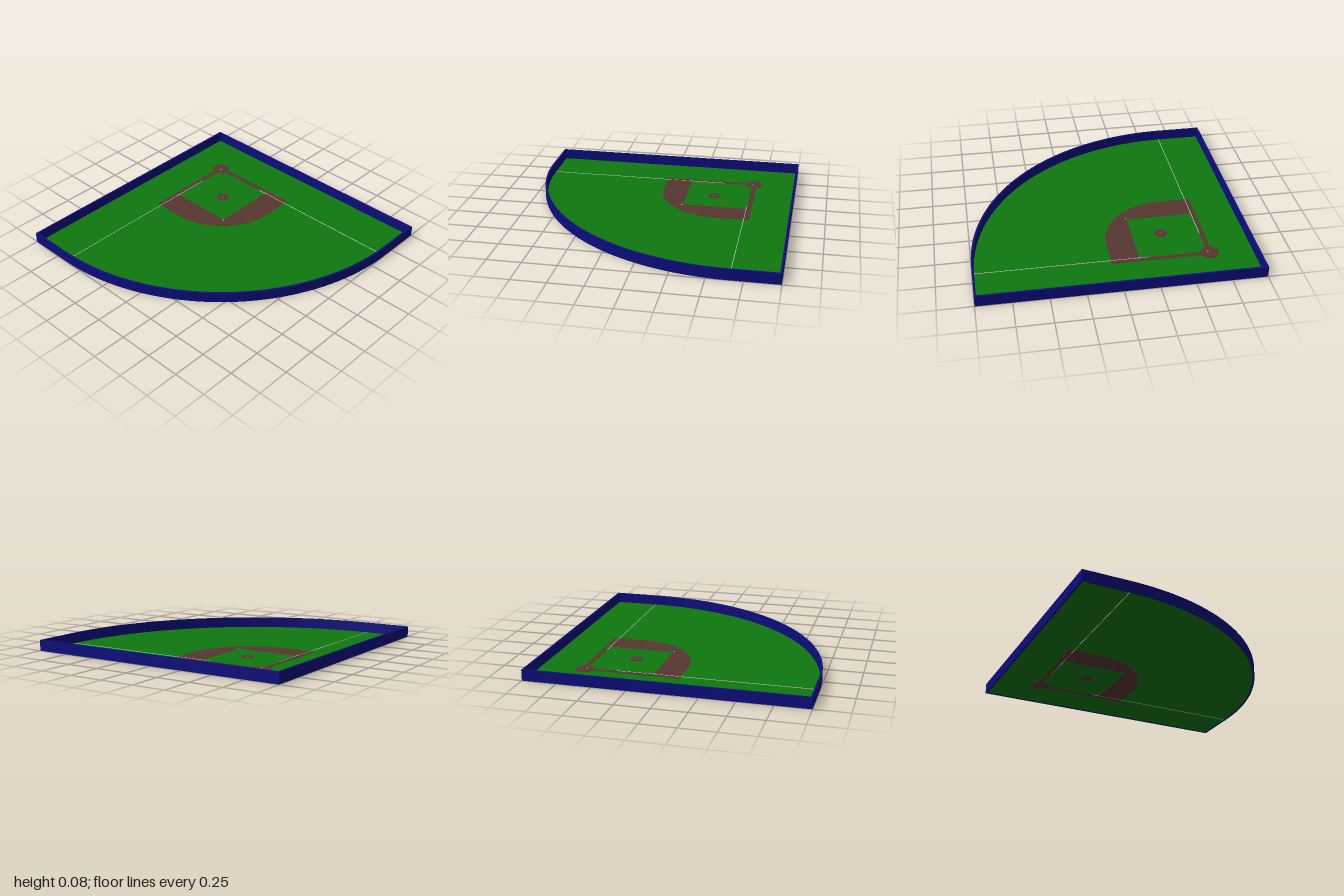
import * as THREE from 'three';

const material = (color) => new THREE.MeshStandardMaterial({ color, side: THREE.DoubleSide });

// Quarter-round outline, drawn in plan with shape y = -z
function fieldOutline(inset) {
  const e = 1 - inset, c = 0.66;
  const s = new THREE.Shape();
  s.moveTo(-e, e);
  s.lineTo(-e, c);
  s.absarc(c, c, c + e, Math.PI, Math.PI * 1.5, false);
  s.lineTo(e, -e);
  s.lineTo(e, e);
  s.closePath();
  return s;
}

export function createModel() {
  const field = new THREE.Group();
  field.name = 'ballField';
  const grassMat = material(0x0e780e);
  const dirtMat = material(0x583630);
  const wallMat = material(0x0c0c7c);
  const whiteMat = material(0xdddddd);

  // Lay a plan shape flat, raised from y0 to y1
  function slab(name, shape, y0, y1, mat) {
    const geo = new THREE.ExtrudeGeometry(shape, { depth: y1 - y0, bevelEnabled: false, curveSegments: 64 });
    geo.rotateX(-Math.PI / 2).translate(0, y0, 0);
    const mesh = new THREE.Mesh(geo, mat);
    mesh.name = name;
    field.add(mesh);
  }

  function box(name, x0, x1, z0, z1, y0, y1, mat) {
    const mesh = new THREE.Mesh(new THREE.BoxGeometry(x1 - x0, y1 - y0, z1 - z0), mat);
    mesh.position.set((x0 + x1) / 2, (y0 + y1) / 2, (z0 + z1) / 2);
    mesh.name = name;
    field.add(mesh);
  }

  function disc(name, x, z, radius, y0, y1) {
    const mesh = new THREE.Mesh(new THREE.CylinderGeometry(radius, radius, y1 - y0, 40), dirtMat);
    mesh.position.set(x, (y0 + y1) / 2, z);
    mesh.name = name;
    field.add(mesh);
  }

  // Outer wall
  const wall = fieldOutline(0);
  wall.holes.push(fieldOutline(0.015));
  slab('wall', wall, 0, 0.08, wallMat);

  // Grass sheet
  const grass = new THREE.Mesh(new THREE.ShapeGeometry(fieldOutline(0.01), 64), grassMat);
  grass.geometry.rotateX(-Math.PI / 2).translate(0, 0.0025, 0);
  grass.name = 'grass';
  field.add(grass);

  // Infield dirt with the square grass diamond left open
  const dirt = new THREE.Shape();
  dirt.moveTo(-0.035, 0.695);
  dirt.lineTo(-0.035, 0.455);
  dirt.absarc(0.45, 0.455, 0.485, Math.PI, Math.PI * 1.5, false);
  dirt.lineTo(0.69, -0.03);
  dirt.lineTo(0.69, 0.695);
  dirt.closePath();
  const diamond = new THREE.Path();
  diamond.moveTo(0.163, 0.66);
  diamond.lineTo(0.655, 0.66);
  diamond.lineTo(0.655, 0.17);
  diamond.lineTo(0.163, 0.17);
  diamond.closePath();
  dirt.holes.push(diamond);
  slab('infieldDirt', dirt, 0.001, 0.004, dirtMat);

  disc('homeCircle', 0.665, -0.675, 0.068, 0.0005, 0.0045);
  disc('pitcherMound', 0.38, -0.385, 0.048, 0.001, 0.0045);

  // Foul lines running out to the wall
  box('foulLineRight', -0.985, 0.43, -0.662, -0.658, 0, 0.005, whiteMat);
  box('foulLineLeft', 0.651, 0.655, -0.24, 0.985, 0, 0.005, whiteMat);

  // Bases, home plate and pitching rubber
  const bases = [
    ['firstBase', 0.652, -0.165], ['secondBase', 0.157, -0.165], ['thirdBase', 0.157, -0.657],
    ['homePlate', 0.655, -0.665], ['pitchingRubber', 0.375, -0.38],
  ];
  for (const [name, x, z] of bases) {
    const h = name === 'pitchingRubber' ? 0.003 : 0.005;
    box(name, x - h, x + h, z - h, z + h, 0.003, 0.006, whiteMat);
  }

  return field;
}
